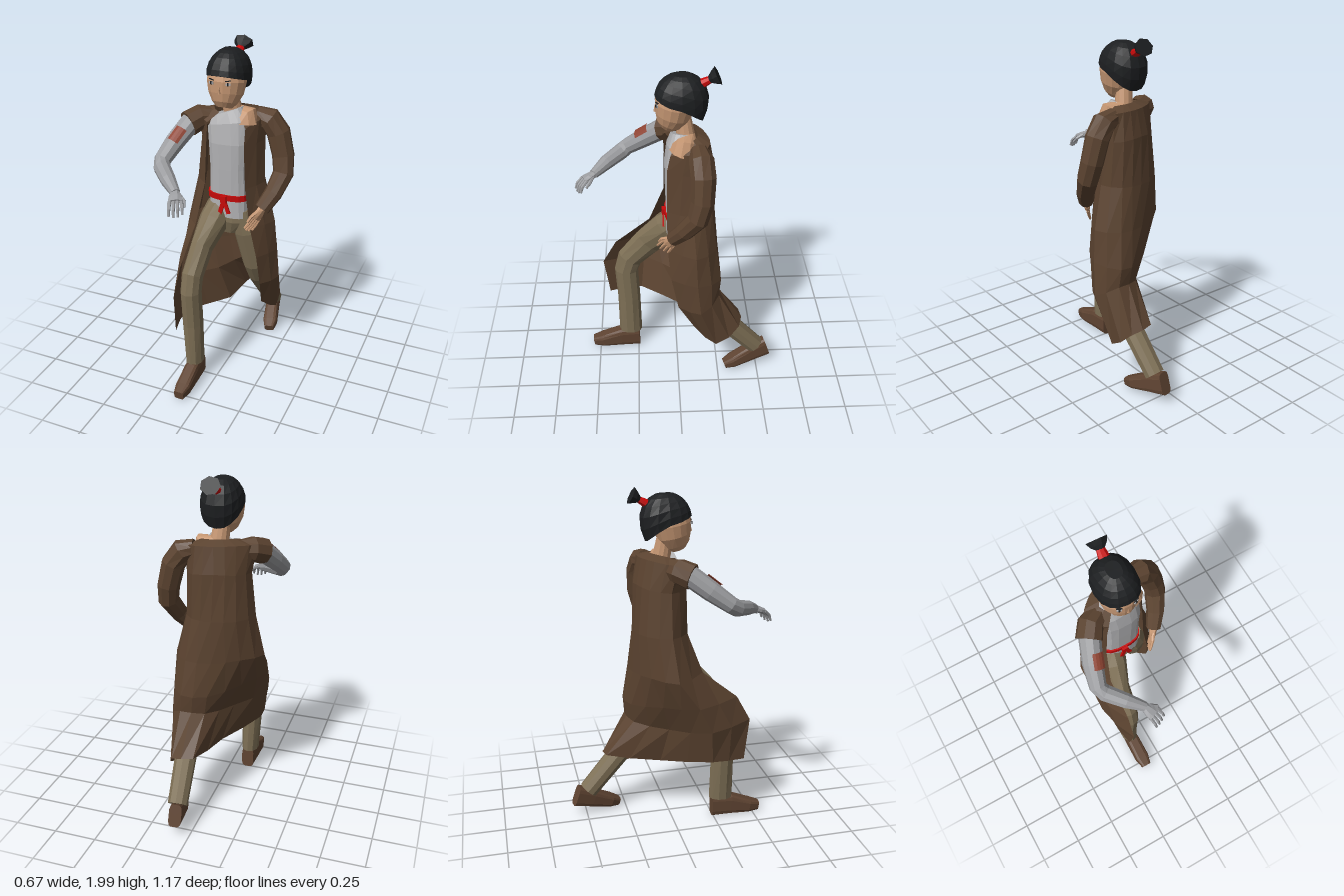
import * as THREE from 'three';

const V = (a) => new THREE.Vector3(a[0], a[1], a[2]);
const bend = (v, e) => Math.sign(v) * Math.abs(v) ** e;
const mat = (name, color, side = THREE.FrontSide) => {
  const m = new THREE.MeshStandardMaterial({ color, side });
  m.name = name;
  return m;
};

// Faceted surface through rows of points; closed rows can be capped
function sheet(rows, closed = false, caps = false) {
  const n = rows[0].length, pos = [], idx = [];
  rows.forEach((r) => r.forEach((p) => pos.push(p.x, p.y, p.z)));
  for (let i = 0; i < rows.length - 1; i++) {
    for (let j = 0; j < (closed ? n : n - 1); j++) {
      const k = (j + 1) % n, a = i * n + j, b = i * n + k, c = b + n, d = a + n;
      idx.push(a, b, c, a, c, d);
    }
  }
  if (caps) {
    [0, rows.length - 1].forEach((r, end) => {
      const c = new THREE.Vector3();
      rows[r].forEach((p) => c.addScaledVector(p, 1 / n));
      const ci = pos.length / 3;
      pos.push(c.x, c.y, c.z);
      for (let j = 0; j < n; j++) {
        const a = r * n + j, b = r * n + (j + 1) % n;
        idx.push(ci, end ? a : b, end ? b : a);
      }
    });
  }
  const indexed = new THREE.BufferGeometry();
  indexed.setAttribute('position', new THREE.Float32BufferAttribute(pos, 3));
  indexed.setIndex(idx);
  const g = indexed.toNonIndexed();
  g.computeVertexNormals();
  return g;
}

// Loft along rings [x, y, z, r, r2]; e below 1 makes the section boxier
function loft(rings, sides = 10, e = 1, ref = [1, 0, 0]) {
  const c = rings.map(V);
  const u = V(ref);
  return sheet(rings.map((r, i) => {
    const t = c[Math.min(i + 1, c.length - 1)].clone().sub(c[Math.max(i - 1, 0)]).normalize();
    u.addScaledVector(t, -u.dot(t)).normalize();
    const v = t.clone().cross(u);
    return Array.from({ length: sides }, (_, j) => {
      const a = (j + 0.5) / sides * Math.PI * 2;
      return c[i].clone().addScaledVector(u, bend(Math.cos(a), e) * r[3])
        .addScaledVector(v, bend(Math.sin(a), e) * (r[4] ?? r[3]));
    });
  }), true, true);
}

export function createModel() {
  const root = new THREE.Group();
  root.name = 'figure';
  const D = THREE.DoubleSide;
  const skin = mat('skin', 0xc79874), hair = mat('black hair', 0x1d1f21, D), red = mat('red cloth', 0xc80a0a);
  const shirt = mat('pale shirt', 0xb2b2b4), metal = mat('grey arm', 0x9b9c9f), coat = mat('brown coat', 0x5b4330, D);
  const pants = mat('khaki trousers', 0x7d6f55), leather = mat('shoe leather', 0x5f4432), rust = mat('rust mark', 0x8f4433, D);
  const add = (name, geo, m, parent = root) => {
    const mesh = new THREE.Mesh(geo, m);
    mesh.name = name;
    parent.add(mesh);
    return mesh;
  };
  const box = (name, m, size, p, rz = 0) => {
    const b = add(name, new THREE.BoxGeometry(...size), m);
    b.position.set(...p);
    b.rotation.z = rz;
    return b;
  };

  // Torso and waist
  add('shirt', loft([[-.02, 1.0, -.02, .122, .085], [-.02, 1.12, -.02, .118, .085], [-.02, 1.3, -.025, .115, .095],
    [-.02, 1.45, -.02, .122, .092], [-.03, 1.56, -.025, .125, .082], [-.05, 1.612, -.03, .1, .062]], 16, .7), shirt);
  add('hips', loft([[-.02, .89, -.02, .06, .06], [-.02, .97, -.02, .12, .085], [-.02, 1.05, -.02, .115, .08]], 12, .8), pants);
  add('belt', loft([[-.022, 1.11, -.02, .125, .092], [-.022, 1.145, -.02, .125, .094]], 16, .7), red);
  box('beltKnot', red, [.035, .04, .02], [-.025, 1.122, .078]);
  box('beltTail', red, [.024, .1, .009], [-.037, 1.065, .08], -.3);
  box('beltTail', red, [.022, .08, .009], [-.006, 1.075, .08], .35);

  // Neck and head
  add('neck', loft([[.03, 1.555, -.035, .105, .085], [.03, 1.582, -.04, .1, .072], [-.02, 1.622, -.045, .055, .05],
    [-.03, 1.72, -.03, .045, .045]], 12), skin);
  add('face', loft([[-.03, 1.658, .05, .042, .04], [-.03, 1.685, .04, .07, .072], [-.03, 1.735, .023, .097, .095],
    [-.03, 1.8, .012, .109, .107], [-.03, 1.885, -.005, .098, .1]], 16), skin);
  const nose = add('nose', new THREE.ConeGeometry(.009, .04, 4), skin);
  nose.position.set(-.03, 1.775, .116);
  for (const s of [-1, 1]) {
    const x = -.03 + s * .047, turn = s * .4;
    box('eyeWhite', shirt, [.026, .013, .008], [x, 1.808, .107]).rotation.y = turn;
    box('iris', hair, [.009, .016, .008], [x, 1.808, .109]).rotation.y = turn;
    box('eyebrow', hair, [.032, .003, .008], [x, 1.826, .106], s * .1).rotation.y = turn;
  }

  // Hair cap with a fringe line that falls toward the nape
  const capRows = [.03, .12, .28, .5, .75, 1].map((f) => Array.from({ length: 16 }, (_, j) => {
    const a = j / 16 * Math.PI * 2, s = Math.sin(a);
    const low = 1.805 + (s > 0 ? .045 : .095) * s, y = 1.967 - (1.967 - low) * f;
    const k = y > 1.83 ? Math.sqrt(1 - ((y - 1.83) / .14) ** 2) : 1 - 14 * (1.83 - y) ** 2;
    return new THREE.Vector3(-.029 + .116 * k * bend(Math.cos(a), .85), y, -.024 + .144 * k * bend(s, .85));
  }));
  add('hairCap', sheet(capRows, true, true), hair);
  add('hairTie', loft([[-.027, 1.9, -.11, .034, .028], [-.025, 1.922, -.15, .027, .022], [-.024, 1.935, -.175, .022, .018]], 8), red);
  add('topknot', loft([[-.024, 1.932, -.167, .022, .018], [-.023, 1.943, -.187, .045, .034], [-.022, 1.955, -.211, .058, .05]], 7), hair);

  // Legs and shoes
  add('rightTrouserLeg', loft([[-.08, 1.04, -.02, .08], [-.098, .96, .05, .085, .1], [-.122, .84, .17, .062, .092],
    [-.13, .71, .285, .06, .078], [-.13, .62, .31, .06, .072], [-.127, .4, .3, .06, .07], [-.118, .13, .298, .052, .072]], 10), pants);
  add('leftTrouserLeg', loft([[.05, 1.04, -.03, .08], [.08, .9, -.04, .085], [.112, .66, -.08, .072], [.115, .56, -.13, .066],
    [.108, .38, -.29, .064], [.092, .16, -.485, .058]], 10), pants);
  add('rightShoe', loft([[-.115, .075, .243, .038, .068], [-.115, .072, .36, .043, .065], [-.115, .046, .48, .045, .041],
    [-.115, .036, .542, .03, .028]], 12, .5), leather);
  add('leftShoe', loft([[.08, .135, -.562, .037, .066], [.1, .1, -.46, .042, .055], [.127, .054, -.345, .045, .036],
    [.138, .036, -.293, .03, .024]], 12, .5), leather);

  // Open coat: each section is a curve from the right front edge round the back to the left front edge
  const section = (...points) => {
    const curve = new THREE.CatmullRomCurve3(points.map(V));
    return Array.from({ length: 13 }, (_, j) => curve.getPoint(j / 12));
  };
  const shoulders = section([-.12, 1.57, .075], [-.22, 1.6, 0], [-.13, 1.615, -.11], [-.02, 1.615, -.16],
    [.08, 1.615, -.17], [.16, 1.6, -.12], [.09, 1.55, .04]);
  const collar = shoulders.map((p) => p.clone().lerp(V([-.02, 1.665, -.04]), .48));
  add('coatBody', sheet([
    collar,
    shoulders,
    section([-.13, 1.45, .07], [-.2, 1.45, -.03], [-.14, 1.46, -.14], [-.03, 1.47, -.19], [.09, 1.46, -.19], [.155, 1.45, -.1], [.09, 1.45, .06]),
    section([-.14, 1.2, .075], [-.227, 1.2, -.03], [-.15, 1.2, -.16], [-.02, 1.2, -.205], [.1, 1.2, -.19], [.165, 1.2, -.08], [.1, 1.2, .062]),
    section([-.165, .97, .16], [-.275, .95, 0], [-.17, .96, -.14], [-.02, .95, -.215], [.13, .95, -.22], [.225, .95, -.1], [.13, .96, .06]),
    section([-.165, .8, .37], [-.263, .78, .12], [-.16, .77, -.07], [0, .74, -.225], [.15, .74, -.25], [.24, .76, -.11], [.165, .76, .04]),
    section([-.17, .65, .452], [-.25, .62, .2], [-.1, .6, -.02], [.02, .62, -.21], [.16, .63, -.24], [.25, .56, -.13], [.175, .56, 0]),
    section([-.18, .4, .42], [-.205, .41, .22], [-.04, .375, -.06], [.035, .41, -.375], [.17, .385, -.37], [.205, .275, -.23], [.15, .37, -.1]),
  ]), coat);

  // Sleeves and arms
  add('leftSleeve', loft([[.1, 1.585, -.11, .05], [.17, 1.565, -.12, .068], [.222, 1.49, -.13, .068], [.255, 1.36, -.125, .064],
    [.267, 1.26, -.1, .06], [.235, 1.16, -.03, .052], [.19, 1.08, .03, .044]], 9), coat);
  add('rightSleeve', loft([[-.12, 1.57, -.03, .055], [-.19, 1.57, .01, .07], [-.235, 1.545, .075, .073]], 9), coat);
  add('rightArm', loft([[-.22, 1.56, .05, .06], [-.27, 1.47, .17, .056], [-.298, 1.395, .275, .047], [-.28, 1.37, .315, .047],
    [-.2, 1.345, .4, .042], [-.125, 1.315, .47, .027]], 10), metal);

  // Mark wrapped over the upper arm
  const from = V([-.23, 1.545, .085]), axis = V([-.298, 1.395, .275]).sub(from);
  const t = axis.clone().normalize(), up = V([.3, .85, .45]);
  up.addScaledVector(t, -up.dot(t)).normalize();
  const across = t.clone().cross(up);
  add('armMark', sheet([.22, .4, .58].map((f) => [-.55, -.28, 0, .28, .55].map((a) =>
    from.clone().addScaledVector(axis, f).addScaledVector(up, .06 * Math.cos(a)).addScaledVector(across, .06 * Math.sin(a))))), rust);

  // Hands: flat palm, four curled fingers and a thumb
  const hand = (name, m, wrist, palm, tip, side) => {
    const g = new THREE.Group();
    g.name = name;
    root.add(g);
    const w = V(wrist), p = V(palm), q = V(tip), s = V(side).normalize();
    const ring = (v, a, b = a) => [v.x, v.y, v.z, a, b];
    const at = (k, ...offs) => offs.reduce((v, [d, f]) => v.addScaledVector(d, f), w.clone().addScaledVector(s, k));
    add('palm', loft([ring(w, .025, .022), ring(at(0, [p, .5]), .037, .02), ring(at(0, [p, 1]), .039, .015)], 8, 1, side), m, g);
    for (let i = 0; i < 4; i++) {
      const k = (i - 1.5) * .02, len = i % 3 ? 1 : .85;
      add('finger', loft([ring(at(k, [p, .9]), .0105), ring(at(k * 1.15, [p, 1.3], [q, .4 * len]), .009),
        ring(at(k * 1.2, [p, 1.3], [q, len]), .0065)], 6), m, g);
    }
    add('thumb', loft([ring(at(.02, [p, .3]), .012), ring(at(.045, [p, .7], [q, .25]), .01),
      ring(at(.046, [p, .95], [q, .55]), .007)], 6), m, g);
  };
  hand('rightHand', metal, [-.128, 1.316, .467], [.028, -.02, .058], [.01, -.065, .02], [.85, .1, -.45]);
  hand('leftHand', skin, [.19, 1.08, .03], [-.025, -.055, .03], [-.03, -.05, .022], [-.3, .45, .75]);

  return root;
}
